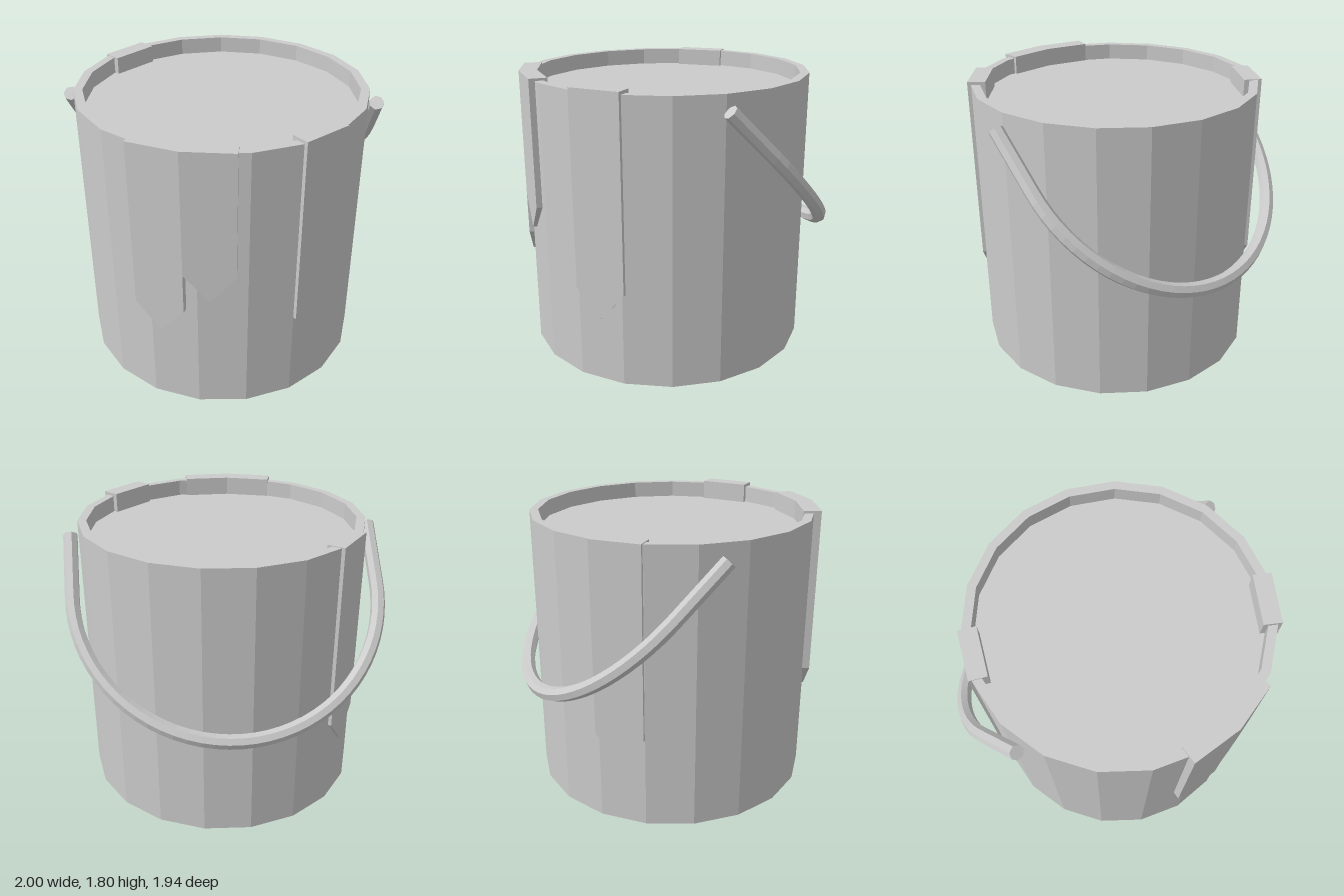
import * as THREE from 'three';

const SIDES = 19;
const CENTER_Z = 0.05;
const material = new THREE.MeshStandardMaterial({ color: 0xcccccc, flatShading: true });

function addMesh(parent, name, geometry) {
  const mesh = new THREE.Mesh(geometry, material);
  mesh.name = name;
  parent.add(mesh);
  return mesh;
}

// Pointed drip hanging over the rim; its outer face runs from a to b ([x, z], left to right from outside)
function addDrip(parent, name, a, b, top, shoulderA, shoulderB, tip) {
  const dx = b[0] - a[0], dz = b[1] - a[1];
  const width = Math.hypot(dx, dz), depth = 0.112;
  const shape = new THREE.Shape([
    [0, top], [0, shoulderA], [width / 2, tip], [width, shoulderB], [width, top],
  ].map(([x, y]) => new THREE.Vector2(x, y)));
  const geometry = new THREE.ExtrudeGeometry(shape, { depth, bevelEnabled: false });
  geometry.translate(0, 0, -depth);
  const drip = addMesh(parent, name, geometry);
  drip.position.set(a[0], 0, a[1]);
  drip.rotation.y = Math.atan2(-dz, dx);
}

// U-shaped path: straight arm, half circle, straight arm
class HandleCurve extends THREE.Curve {
  constructor(radius, arm) {
    super();
    this.radius = radius;
    this.arm = arm;
  }
  getPoint(t, target = new THREE.Vector3()) {
    const { radius: r, arm } = this;
    const arc = Math.PI * r;
    const s = t * (2 * arm + arc);
    if (s < arm) return target.set(-r, -s, 0);
    if (s > arm + arc) return target.set(r, s - 2 * arm - arc, 0);
    const angle = (s - arm) / r;
    return target.set(-r * Math.cos(angle), -arm - r * Math.sin(angle), 0);
  }
}

export function createModel() {
  const model = new THREE.Group();
  model.name = 'paintBucket';

  // Bucket with raised rim and the recessed paint surface
  const profile = [[0, 0], [0.905, 0], [0.905, 1.785], [0.85, 1.785], [0.85, 1.68], [0, 1.68]]
    .map(([x, y]) => new THREE.Vector2(x, y));
  const bucket = addMesh(model, 'bucket', new THREE.LatheGeometry(profile, SIDES, Math.PI / 2));
  bucket.position.z = CENTER_Z;

  // Paint drips
  addDrip(model, 'frontDripLong', [-0.455, 0.875], [-0.155, 0.97], 1.8, 0.73, 0.73, 0.55);
  addDrip(model, 'frontDripShort', [-0.155, 0.97], [0.155, 0.97], 1.8, 1.0, 1.0, 0.82);
  addDrip(model, 'leftDrip', [0.51, 0.825], [0.74, 0.605], 1.805, 0.6, 0.6, 0.42);
  addDrip(model, 'backDrip', [-0.615, -0.64], [-0.81, -0.395], 1.79, 0.59, 0.59, 0.41);

  // Seven-sided handle, swung down behind the bucket
  const section = [];
  for (let i = 0; i < 7; i++) {
    const a = (i / 7) * Math.PI * 2;
    section.push(new THREE.Vector2(0.046 * Math.sin(a), -0.046 * Math.cos(a)));
  }
  const handle = addMesh(model, 'handle', new THREE.ExtrudeGeometry(new THREE.Shape(section), {
    steps: 48, bevelEnabled: false, extrudePath: new HandleCurve(0.954, 0.42),
  }));
  handle.position.set(0, 1.695, CENTER_Z);
  handle.rotation.x = Math.PI / 4;

  return model;
}
